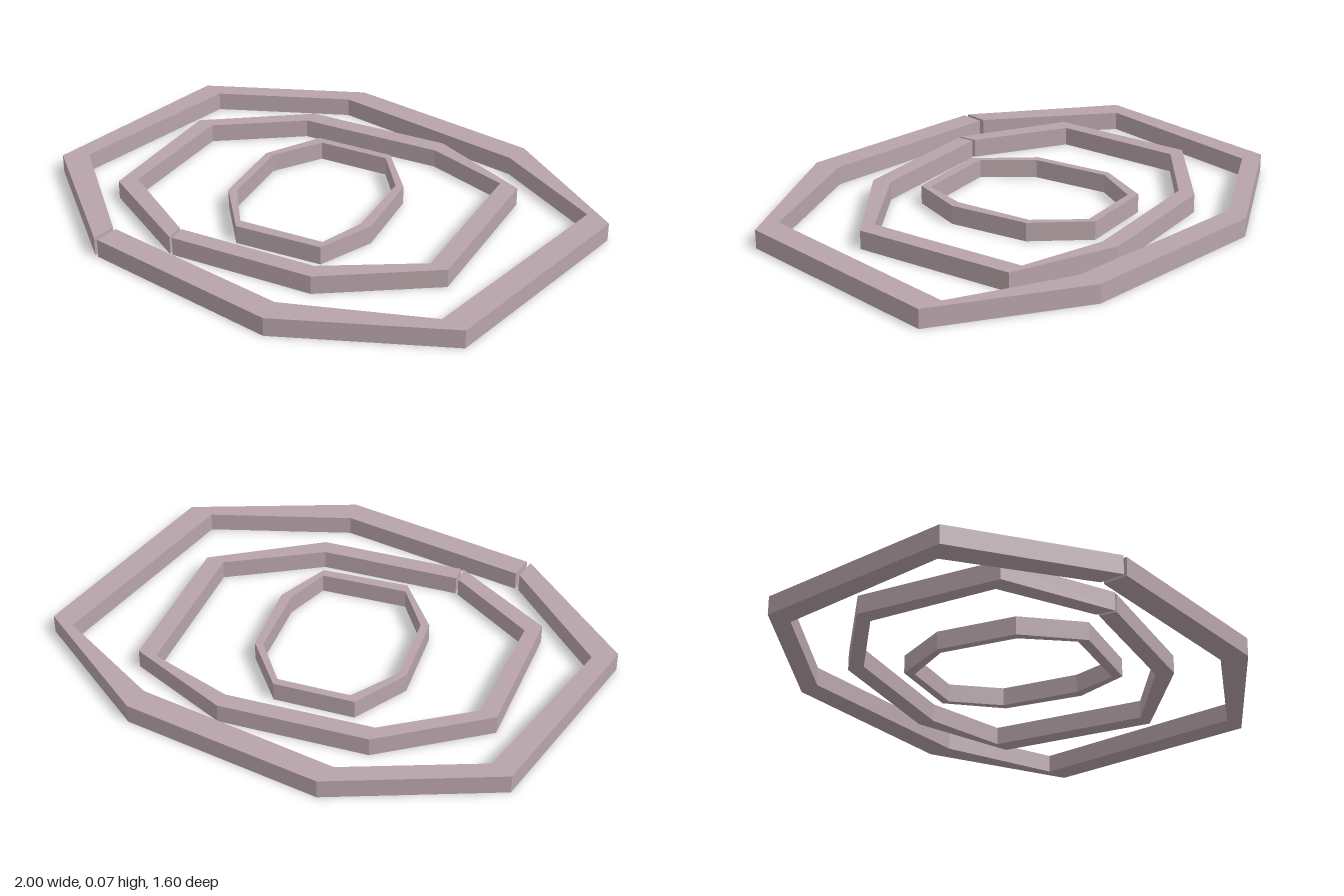
import * as THREE from 'three';

const HEIGHT = 0.07;

// Each ring: matching outer and inner corners [x, z], walked once around.
// Split rings begin and end at a narrow gap; the closed ring uses a hole.
const RINGS = [
  {
    name: 'outerRing', split: true,
    outer: [[-0.55, 0.64], [0.195, 0.8], [0.81, 0.565], [1, -0.275], [0.53, -0.655], [-0.215, -0.8], [-0.81, -0.565], [-1, 0.19], [-0.565, 0.635]],
    inner: [[-0.53, 0.55], [0.185, 0.7], [0.715, 0.54], [0.91, -0.3], [0.51, -0.56], [-0.245, -0.715], [-0.73, -0.525], [-0.915, 0.14], [-0.545, 0.545]],
  },
  {
    name: 'middleRing', split: true,
    outer: [[-0.325, 0.51], [0.22, 0.51], [0.615, 0.26], [0.62, -0.36], [0.24, -0.55], [-0.31, -0.545], [-0.685, -0.29], [-0.705, 0.26], [-0.335, 0.51]],
    inner: [[-0.325, 0.445], [0.2, 0.445], [0.545, 0.25], [0.55, -0.365], [0.235, -0.485], [-0.31, -0.48], [-0.62, -0.275], [-0.65, 0.215], [-0.335, 0.44]],
  },
  {
    name: 'innerRing', split: false,
    outer: [[-0.165, 0.34], [0.165, 0.33], [0.26, 0.125], [0.245, -0.18], [0.1, -0.375], [-0.2, -0.375], [-0.325, -0.175], [-0.315, 0.13]],
    inner: [[-0.17, 0.3], [0.155, 0.295], [0.22, 0.125], [0.215, -0.175], [0.095, -0.345], [-0.175, -0.345], [-0.295, -0.175], [-0.285, 0.12]],
  },
];

const toPoints = (list) => list.map(([x, z]) => new THREE.Vector2(x, z));

function ringGeometry({ outer, inner, split }) {
  const out = toPoints(outer);
  const inn = toPoints(inner).reverse();
  const shape = new THREE.Shape(split ? [...out, ...inn] : out);
  if (!split) shape.holes.push(new THREE.Path(inn));
  const geometry = new THREE.ExtrudeGeometry(shape, { depth: HEIGHT, bevelEnabled: false });
  // Lay the profile flat: shape y becomes z, and the bottom rests on y = 0
  return geometry.rotateX(Math.PI / 2).translate(0, HEIGHT, 0);
}

export function createModel() {
  const group = new THREE.Group();
  group.name = 'nestedRings';
  const material = new THREE.MeshStandardMaterial({ color: 0xb8a4aa, flatShading: true });
  for (const ring of RINGS) {
    const mesh = new THREE.Mesh(ringGeometry(ring), material);
    mesh.name = ring.name;
    group.add(mesh);
  }
  return group;
}
